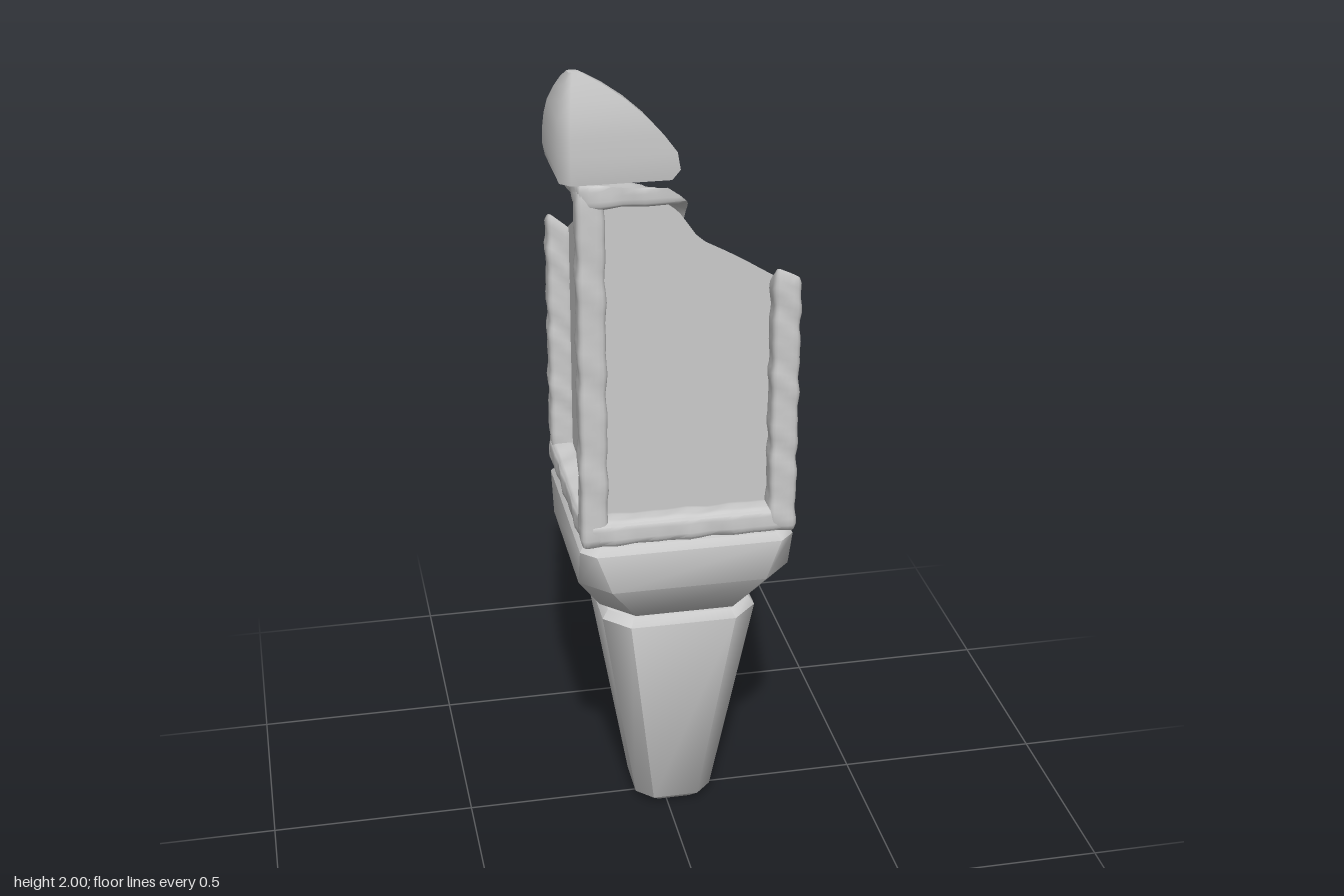
import * as THREE from 'three';
import { toCreasedNormals } from 'three/addons/utils/BufferGeometryUtils.js';

const CX = 0.02, CZ = -0.02, BASE = 0.845, TOP = 1.75;
const material = new THREE.MeshStandardMaterial({ color: 0xcccccc });

function addMesh(parent, name, geometry, crease = 0.9) {
  const mesh = new THREE.Mesh(toCreasedNormals(geometry, crease), material);
  mesh.name = name;
  parent.add(mesh);
}

// Height of the broken top: highest at (-x,+z), lowest at (+x,-z)
const BREAK = [[-1, 1.75], [-0.6, 1.75], [-0.43, 1.69], [-0.34, 1.62], [-0.2, 1.57], [0, 1.5],
  [0.3, 1.43], [0.5, 1.36], [0.75, 1.2], [1, 0.97]];
function breakHeight(x, z) {
  const s = THREE.MathUtils.clamp((x - z) / 0.52, -1, 0.999);
  const t = (x + z) / 0.52;
  const i = BREAK.findIndex(([k]) => k > s) - 1;
  const [s0, y0] = BREAK[i], [s1, y1] = BREAK[i + 1];
  const y = y0 + (y1 - y0) * (s - s0) / (s1 - s0);
  const open = Math.max(0, 1 - s * s - t * t);
  return y - 0.05 * open + 0.01 * open * Math.sin(x * 23 + z * 9) * Math.cos(z * 19);
}

// Move every vertex by a rule
function deform(geometry, rule) {
  const p = geometry.attributes.position, v = new THREE.Vector3();
  for (let i = 0; i < p.count; i++) {
    rule(v.fromBufferAttribute(p, i));
    p.setXYZ(i, v.x, v.y, v.z);
  }
  return geometry;
}

// Box with rounded, slightly worn edges
function softBox(w, h, d, x, y, z) {
  const r = 0.018, seg = n => Math.max(6, Math.round(n / 0.025));
  const c = new THREE.Vector3(), half = new THREE.Vector3(w / 2 - r, h / 2 - r, d / 2 - r);
  const low = half.clone().negate();
  return deform(new THREE.BoxGeometry(w, h, d, seg(w), seg(h), seg(d)), v => {
    c.copy(v).clamp(low, half);
    v.sub(c);
    const a = c.x + c.y + c.z + x * 3 + z * 5;
    const wear = 0.0015 * (Math.sin(a * 41) + Math.sin(a * 67 + 1) - 2);
    v.setLength(r + wear).add(c);
    v.x += x; v.y += y; v.z += z;
  });
}

// Closed solid through rings with equal point counts (points run clockwise from above)
function loft(rings) {
  const n = rings[0].length, pos = rings.flat(2), idx = [];
  for (let j = 0; j < rings.length - 1; j++) for (let i = 0; i < n; i++) {
    const a = j * n + i, b = j * n + (i + 1) % n;
    idx.push(a, a + n, b, b, a + n, b + n);
  }
  [0, rings.length - 1].forEach((j, end) => {
    const c = pos.length / 3;
    for (let k = 0; k < 3; k++) pos.push(rings[j].reduce((sum, q) => sum + q[k], 0) / n);
    for (let i = 0; i < n; i++) {
      const a = j * n + i, b = j * n + (i + 1) % n;
      end ? idx.push(c, b, a) : idx.push(c, a, b);
    }
  });
  const g = new THREE.BufferGeometry();
  g.setAttribute('position', new THREE.Float32BufferAttribute(pos, 3));
  g.setIndex(idx);
  return g;
}

// Square ring with cut corners
function ring(y, a, cut) {
  const b = a - cut;
  return [[a, b], [b, a], [-b, a], [-a, b], [-a, -b], [-b, -a], [b, -a], [a, -b]]
    .map(([x, z]) => [CX + x, y, CZ + z]);
}

export function createModel() {
  const model = new THREE.Group();

  // Tapered peg and flared collar
  addMesh(model, 'peg', loft([ring(0, 0.075, 0.035), ring(0.02, 0.097, 0.04),
    ring(0.585, 0.19, 0.06), ring(0.605, 0.175, 0.055)]));
  addMesh(model, 'collar', loft([ring(0.607, 0.17, 0.06), ring(0.622, 0.195, 0.075),
    ring(0.725, 0.257, 0.07), ring(0.825, 0.258, 0.035), ring(0.843, 0.245, 0.035)]));

  // Recessed panels and the broken upper surface
  const body = new THREE.Group();
  body.name = 'brokenBlock';
  body.position.set(CX, 0, CZ);
  model.add(body);
  addMesh(body, 'panelCore', deform(new THREE.BoxGeometry(0.41, 1, 0.41, 20, 1, 20), v => {
    v.y = v.y < 0 ? BASE + 0.01 : breakHeight(v.x, v.z);
  }));

  // Corner posts, cut off at the break; the lowest one tapers to a sliver
  for (const sx of [-1, 1]) for (const sz of [-1, 1]) {
    const post = softBox(0.07, TOP - BASE, 0.07, sx * 0.225, (TOP + BASE) / 2, sz * 0.225);
    addMesh(body, 'cornerPost', deform(post, v => {
      const up = (v.y - BASE) / (TOP - BASE);
      if (sx > 0 && sz < 0) {
        const k = 1 - 0.6 * up;
        v.x = 0.195 + (v.x - 0.195) * k;
        v.z = -0.195 + (v.z + 0.195) * k;
      }
      v.y = BASE + up * (breakHeight(v.x, v.z) - BASE);
    }));
  }

  // Bottom rails on all four sides
  for (const s of [-1, 1]) {
    addMesh(body, 'bottomRail', softBox(0.51, 0.07, 0.07, 0, BASE + 0.035, s * 0.225));
    addMesh(body, 'bottomRail', softBox(0.07, 0.07, 0.51, s * 0.225, BASE + 0.035, 0));
  }

  // Remaining top rails beside the tallest corner
  const clip = v => { v.y = Math.min(v.y, breakHeight(v.x, v.z)); };
  addMesh(body, 'topRail', deform(softBox(0.25, 0.07, 0.07, -0.13, TOP - 0.035, 0.225), clip));
  addMesh(body, 'topRail', deform(softBox(0.07, 0.07, 0.25, -0.225, TOP - 0.035, 0.13), clip));

  // Loose fragment above the tallest corner, each ring shrinking toward the outer corner
  const outline = [[-0.28, 0.035], [-0.24, 0.02], [-0.185, 0.035], [-0.13, 0.065], [-0.085, 0.11],
    [-0.05, 0.16], [-0.02, 0.225], [-0.015, 0.28], [-0.255, 0.28], [-0.28, 0.255]];
  const levels = [[1.757, 0.92], [1.78, 1], [1.82, 0.97], [1.86, 0.84], [1.9, 0.68],
    [1.94, 0.48], [1.975, 0.26], [2, 0.06]];
  const px = -0.24, pz = 0.24;
  addMesh(model, 'looseFragment', loft(levels.map(([y, k]) => outline.map(([x, z]) => {
    const outer = y > 1.8 ? Math.min(1, k + 0.25) : k;
    return [px + (x - px) * (x < px ? outer : k), y, pz + (z - pz) * (z > pz ? outer : k)];
  }))));

  return model;
}
